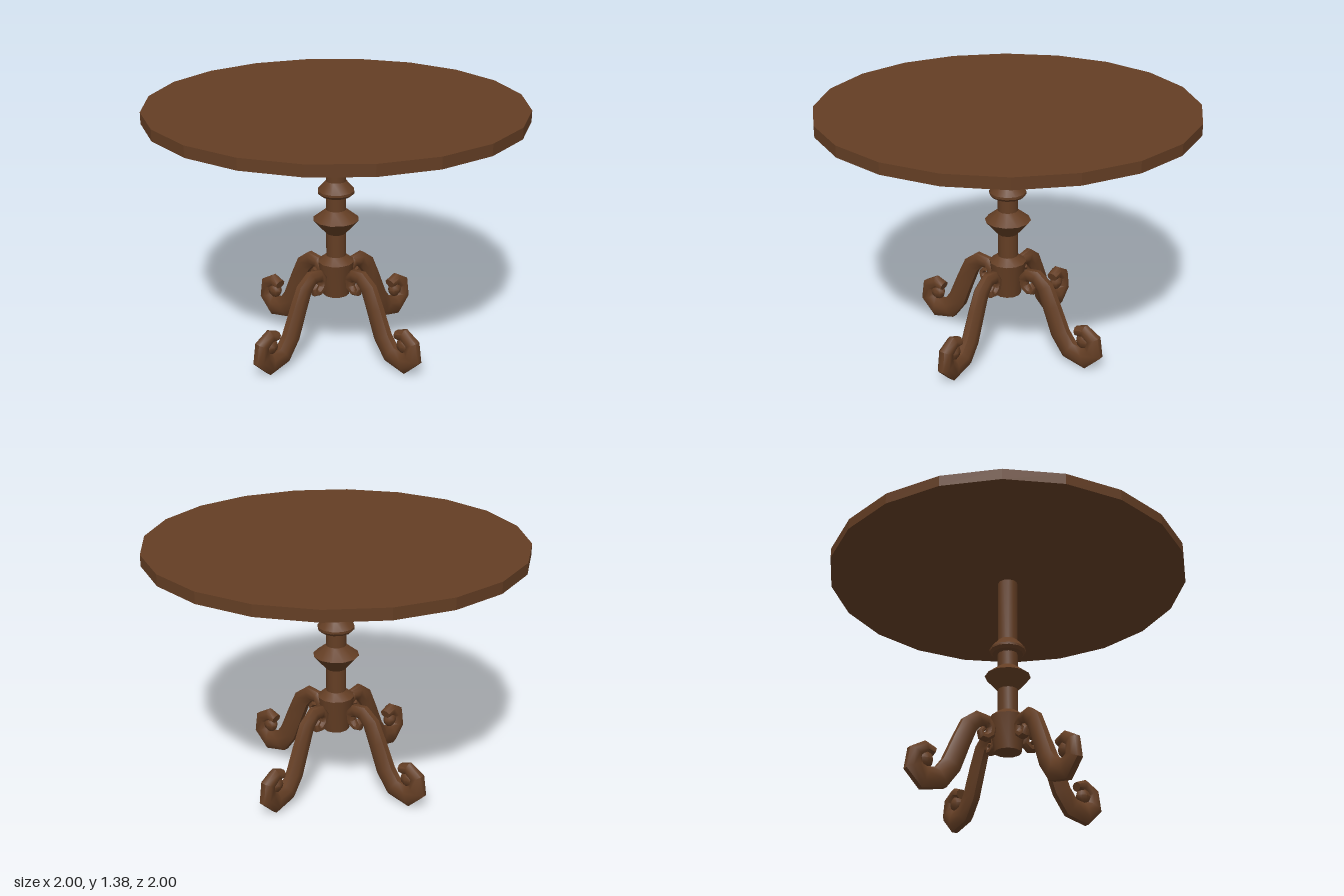
import * as THREE from 'three';
import { toCreasedNormals } from 'three/addons/utils/BufferGeometryUtils.js';

// Octagonal band swept along a path in the xy plane; stations are [x, y, in-plane half-width, z half-width]
function sweptBand(stations, sides = 8) {
  const pos = [], idx = [], n = stations.length;
  const k = 1 / Math.cos(Math.PI / sides);
  stations.forEach(([x, y, r, w], i) => {
    const a = stations[Math.max(i - 1, 0)], b = stations[Math.min(i + 1, n - 1)];
    const t = new THREE.Vector2(b[0] - a[0], b[1] - a[1]).normalize();
    for (let j = 0; j < sides; j++) {
      const ang = ((j + 0.5) / sides) * Math.PI * 2;
      const c = Math.cos(ang) * r * k;
      pos.push(x - t.y * c, y + t.x * c, Math.sin(ang) * w * k);
    }
  });
  for (let i = 0; i < n - 1; i++) {
    for (let j = 0; j < sides; j++) {
      const j2 = (j + 1) % sides;
      const a = i * sides + j, b = i * sides + j2, c = b + sides, d = a + sides;
      idx.push(a, b, c, a, c, d);
    }
  }
  // end caps
  const last = (n - 1) * sides;
  for (let j = 1; j < sides - 1; j++) {
    idx.push(0, j + 1, j, last, last + j, last + j + 1);
  }
  const geo = new THREE.BufferGeometry();
  geo.setAttribute('position', new THREE.Float32BufferAttribute(pos, 3));
  geo.setIndex(idx);
  return toCreasedNormals(geo, 0.85);
}

export function createModel() {
  const group = new THREE.Group();
  const wood = new THREE.MeshStandardMaterial({ color: 0x643e24 });
  wood.name = 'brown wood';

  const add = (parent, name, geo) => {
    const mesh = new THREE.Mesh(geo, wood);
    mesh.name = name;
    parent.add(mesh);
    return mesh;
  };

  // Round top with twenty straight edges
  const top = new THREE.CylinderGeometry(1, 1, 0.06, 20);
  add(group, 'tableTop', toCreasedNormals(top, 0.2)).position.y = 1.36;

  // Turned column, profiles run from bottom to top as [radius, y]
  const turned = (name, profile) => {
    const points = profile.map(([r, y]) => new THREE.Vector2(r, y));
    add(group, name, toCreasedNormals(new THREE.LatheGeometry(points, 12), 0.6));
  };
  turned('pole', [[0.055, 0.45], [0.055, 1.335]]);
  turned('hub', [[0, 0.31], [0.073, 0.31], [0.1, 0.505], [0.055, 0.54]]);
  turned('lowerRing', [[0.055, 0.67], [0.125, 0.75], [0.055, 0.805]]);
  turned('upperCollar', [[0.054, 0.885], [0.085, 0.887], [0.1, 0.902], [0.1, 0.915], [0.055, 0.967]]);

  // Scrolled leg: small curl at the hub, S-shaped drop, large curl at the foot
  const legGeo = sweptBand([
    [0.155, 0.41, 0.014, 0.02],
    [0.173, 0.39, 0.016, 0.022],
    [0.165, 0.365, 0.02, 0.025],
    [0.14, 0.363, 0.022, 0.026],
    [0.112, 0.385, 0.024, 0.027],
    [0.108, 0.425, 0.027, 0.028],
    [0.135, 0.455, 0.033, 0.03],
    [0.19, 0.457, 0.042, 0.032],
    [0.245, 0.41, 0.048, 0.035],
    [0.29, 0.31, 0.05, 0.038],
    [0.35, 0.165, 0.054, 0.04],
    [0.41, 0.085, 0.057, 0.04],
    [0.505, 0.065, 0.06, 0.04],
    [0.562, 0.115, 0.05, 0.038],
    [0.557, 0.19, 0.04, 0.035],
    [0.5, 0.225, 0.035, 0.032],
    [0.452, 0.212, 0.024, 0.03],
  ]);
  // Rounded boss in the middle of the foot curl
  const bossGeo = toCreasedNormals(new THREE.SphereGeometry(0.045, 8, 6), 0.85);
  bossGeo.scale(1, 1, 0.75);

  for (let i = 0; i < 4; i++) {
    const leg = new THREE.Group();
    leg.name = 'leg' + (i + 1);
    add(leg, 'scrolledLeg', legGeo);
    add(leg, 'footBoss', bossGeo).position.set(0.497, 0.165, 0);
    leg.rotation.y = (i * Math.PI) / 2;
    group.add(leg);
  }
  return group;
}
